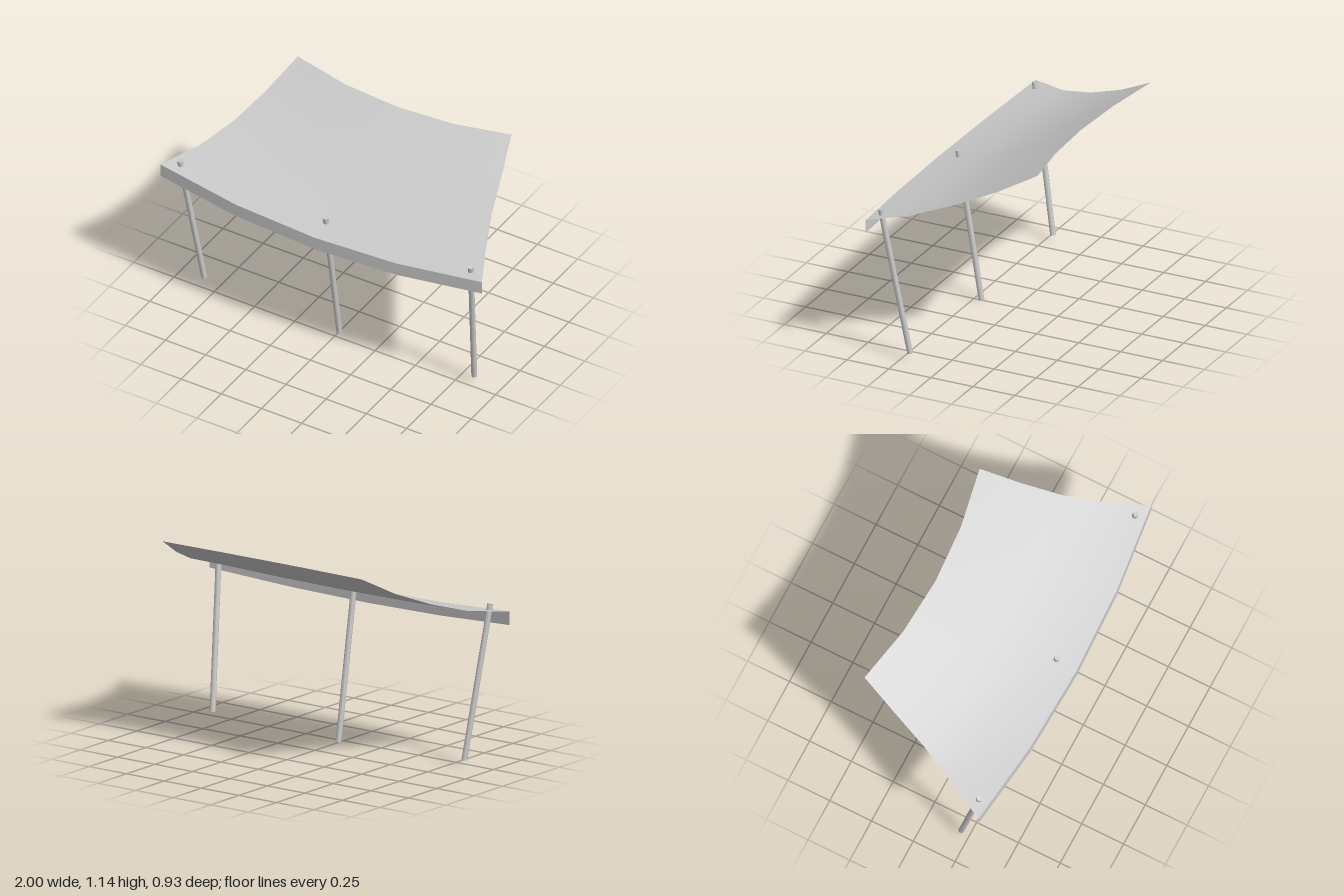
import * as THREE from 'three';

const cloth = new THREE.MeshStandardMaterial({ color: 0xcccccc, side: THREE.DoubleSide });
const metal = new THREE.MeshStandardMaterial({ color: 0xcccccc });

// Canopy rows from front to back: half width, centre [y, z], edge [y, z]
const rows = [
  { w: 1.0, mid: [0.79, 0.46], edge: [0.84, 0.39] },
  { w: 0.89, mid: [0.835, 0.235], edge: [0.87, 0.17] },
  { w: 0.8, mid: [0.915, 0.015], edge: [0.937, -0.04] },
  { w: 0.73, mid: [1.01, -0.19], edge: [1.027, -0.255] },
  { w: 0.665, mid: [1.117, -0.385], edge: [1.14, -0.465] },
];
const COLUMNS = 4;
const DROP = 0.075;

// Point on a row; s runs from -1 (right) to 1 (left) along a parabolic sag
function rowPoint({ w, mid, edge }, s, drop = 0) {
  const k = s * s;
  return [w * s, mid[0] + (edge[0] - mid[0]) * k - drop, mid[1] + (edge[1] - mid[1]) * k];
}

// Skin equal-length lines of points into a smooth sheet
function sheet(name, lines) {
  const n = lines[0].length;
  const index = [];
  for (let r = 0; r < lines.length - 1; r++) {
    for (let c = 0; c < n - 1; c++) {
      const a = r * n + c;
      index.push(a, a + 1, a + n, a + 1, a + n + 1, a + n);
    }
  }
  const geometry = new THREE.BufferGeometry();
  geometry.setAttribute('position', new THREE.Float32BufferAttribute(lines.flat(2), 3));
  geometry.setIndex(index);
  geometry.computeVertexNormals();
  const mesh = new THREE.Mesh(geometry, cloth);
  mesh.name = name;
  return mesh;
}

// Round pole between two points
function pole(name, bottom, top) {
  const a = new THREE.Vector3(...bottom);
  const axis = new THREE.Vector3(...top).sub(a);
  const mesh = new THREE.Mesh(new THREE.CylinderGeometry(0.016, 0.016, axis.length(), 8), metal);
  mesh.position.copy(a).addScaledVector(axis, 0.5);
  mesh.quaternion.setFromUnitVectors(new THREE.Vector3(0, 1, 0), axis.normalize());
  mesh.name = name;
  return mesh;
}

export function createModel() {
  const group = new THREE.Group();
  group.name = 'awning';
  const steps = Array.from({ length: COLUMNS + 1 }, (_, i) => (2 * i) / COLUMNS - 1);

  // Sagging fabric roof
  group.add(sheet('canopy', rows.map((row) => steps.map((s) => rowPoint(row, s)))));

  // Hanging strip along the front edge
  group.add(sheet('valance', [DROP, 0].map((d) => steps.map((s) => rowPoint(rows[0], s, d)))));

  // Leaning support poles, poking through the fabric
  group.add(pole('centrePole', [0, 0.003, 0.205], [0, 0.85, 0.345]));
  for (const side of [-1, 1]) {
    group.add(pole(side > 0 ? 'leftPole' : 'rightPole', [0.84 * side, 0.037, 0.205], [0.905 * side, 0.877, 0.347]));
  }
  return group;
}
